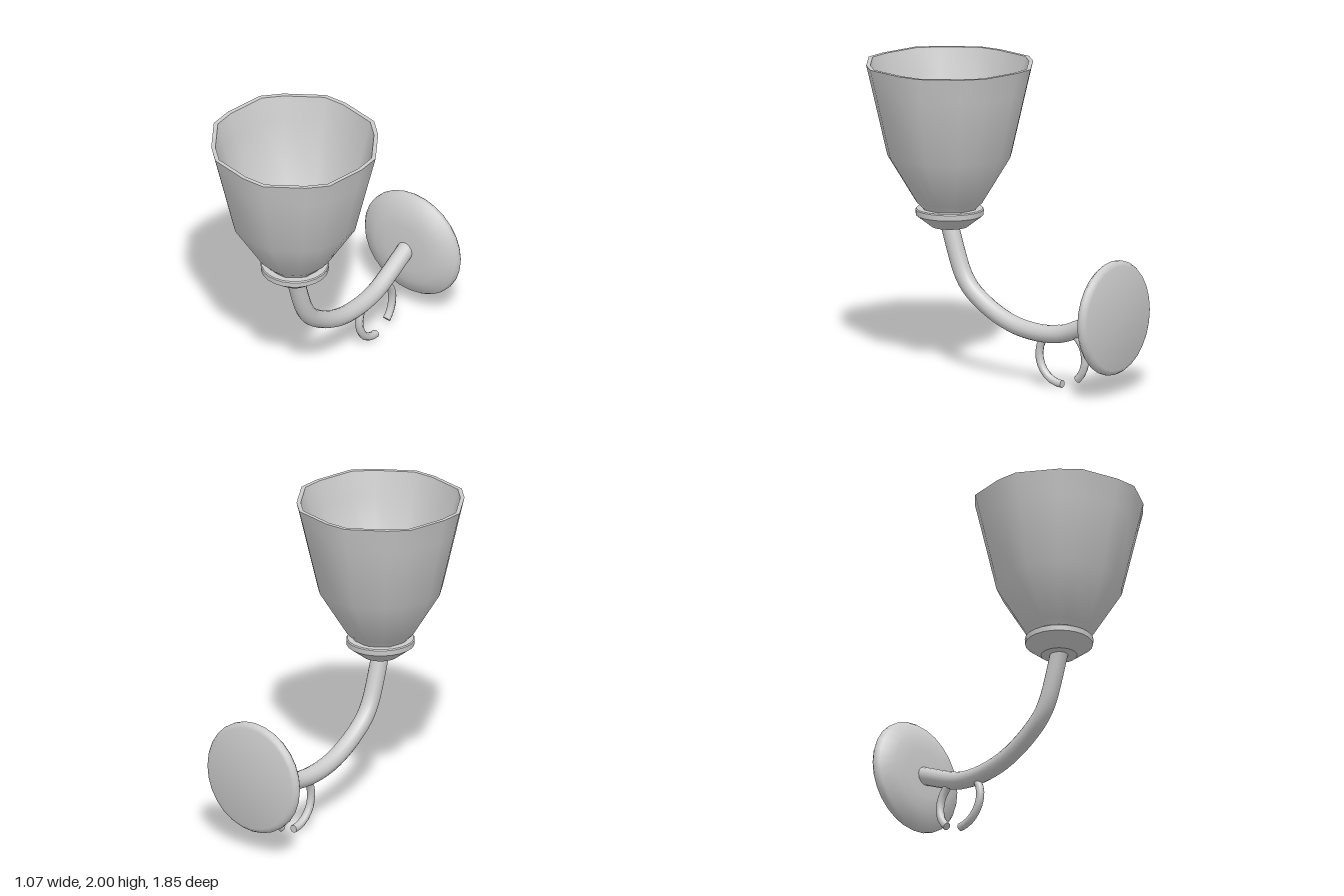
import * as THREE from 'three';
import { toCreasedNormals } from 'three/addons/utils/BufferGeometryUtils.js';

const material = new THREE.MeshStandardMaterial({ color: 0xcccccc, side: THREE.DoubleSide });
const SHADE_Z = 0.39;

function lathe(profile, segments) {
  return new THREE.LatheGeometry(profile.map(([r, y]) => new THREE.Vector2(r, y)), segments);
}

function addPart(parent, name, geometry, crease) {
  const mesh = new THREE.Mesh(crease ? toCreasedNormals(geometry, crease) : geometry, material);
  mesh.name = name;
  parent.add(mesh);
  return mesh;
}

// Eight-sided cup with bevelled corners: the ring's vertices are drawn together in pairs
function shadeGeometry() {
  const geometry = lathe([
    [0, 1.05], [0.165, 1.05], [0.175, 1.07], [0.217, 1.11], [0.403, 1.415], [0.502, 1.84], [0.54, 2],
    [0.513, 2], [0.475, 1.84], [0.375, 1.425], [0.195, 1.135], [0, 1.1],
  ], 16);
  const pos = geometry.attributes.position;
  for (let i = 0; i < pos.count; i++) {
    const x = pos.getX(i), z = pos.getZ(i);
    const r = Math.hypot(x, z);
    const k = Math.round(Math.atan2(z, x) / (Math.PI / 8)) + 16;
    const odd = k % 2;
    const a = THREE.MathUtils.degToRad(Math.floor(k / 2) * 45 + (odd ? 1.5 : -14.5));
    const s = r * (odd ? 0.99 : 1.02);
    pos.setXYZ(i, Math.cos(a) * s, pos.getY(i), Math.sin(a) * s);
  }
  return geometry;
}

export function createModel() {
  const model = new THREE.Group();
  model.name = 'wallLamp';

  // Open shade and the collar that carries it
  addPart(model, 'shade', shadeGeometry(), 0.7).position.z = SHADE_Z;
  const collar = lathe([
    [0, 0.943], [0.115, 0.943], [0.216, 1.02], [0.218, 1.055], [0.212, 1.062], [0, 1.062],
  ], 24);
  addPart(model, 'collar', collar, 0.5).position.z = SHADE_Z;

  // Curved arm from the wall plate to the collar, as [z, y]
  const path = [
    [0.4, 0.98], [0.386, 0.94], [0.29, 0.66], [0.227, 0.565], [0.137, 0.49], [0.016, 0.418],
    [-0.12, 0.365], [-0.27, 0.34], [-0.397, 0.34], [-0.513, 0.36], [-0.804, 0.487], [-0.85, 0.507],
  ].map(([z, y]) => new THREE.Vector3(0, y, z));
  addPart(model, 'arm', new THREE.TubeGeometry(new THREE.CatmullRomCurve3(path), 36, 0.057, 14));

  // Round wall plate, domed toward the front and flat at the back
  const plate = addPart(model, 'wallPlate', lathe([
    [0, 0], [0.335, 0], [0.356, 0.008], [0.368, 0.025], [0.368, 0.045],
    [0.352, 0.066], [0.25, 0.112], [0.16, 0.121], [0, 0.124],
  ], 28), 0.9);
  plate.rotation.x = Math.PI / 2;
  plate.position.set(0, 0.505, -0.926);

  // Open ring passing through the arm, with closed ends
  const ring = new THREE.Group();
  ring.name = 'hookRing';
  const radius = 0.179, wire = 0.026, arc = THREE.MathUtils.degToRad(319);
  addPart(ring, 'ringWire', new THREE.TorusGeometry(radius, wire, 8, 24, arc));
  for (const [angle, turn] of [[0, Math.PI / 2], [arc, -Math.PI / 2]]) {
    const cap = addPart(ring, 'ringEnd', new THREE.CircleGeometry(wire, 8));
    cap.position.set(Math.cos(angle) * radius, Math.sin(angle) * radius, 0);
    cap.rotation.set(turn, angle, 0, 'ZYX');
    cap.rotation.set(turn, 0, angle, 'ZYX');
  }
  ring.rotation.set(0, -Math.PI / 2, -Math.PI / 2, 'YXZ');
  ring.position.set(0, 0.206, -0.49);
  model.add(ring);

  return model;
}
